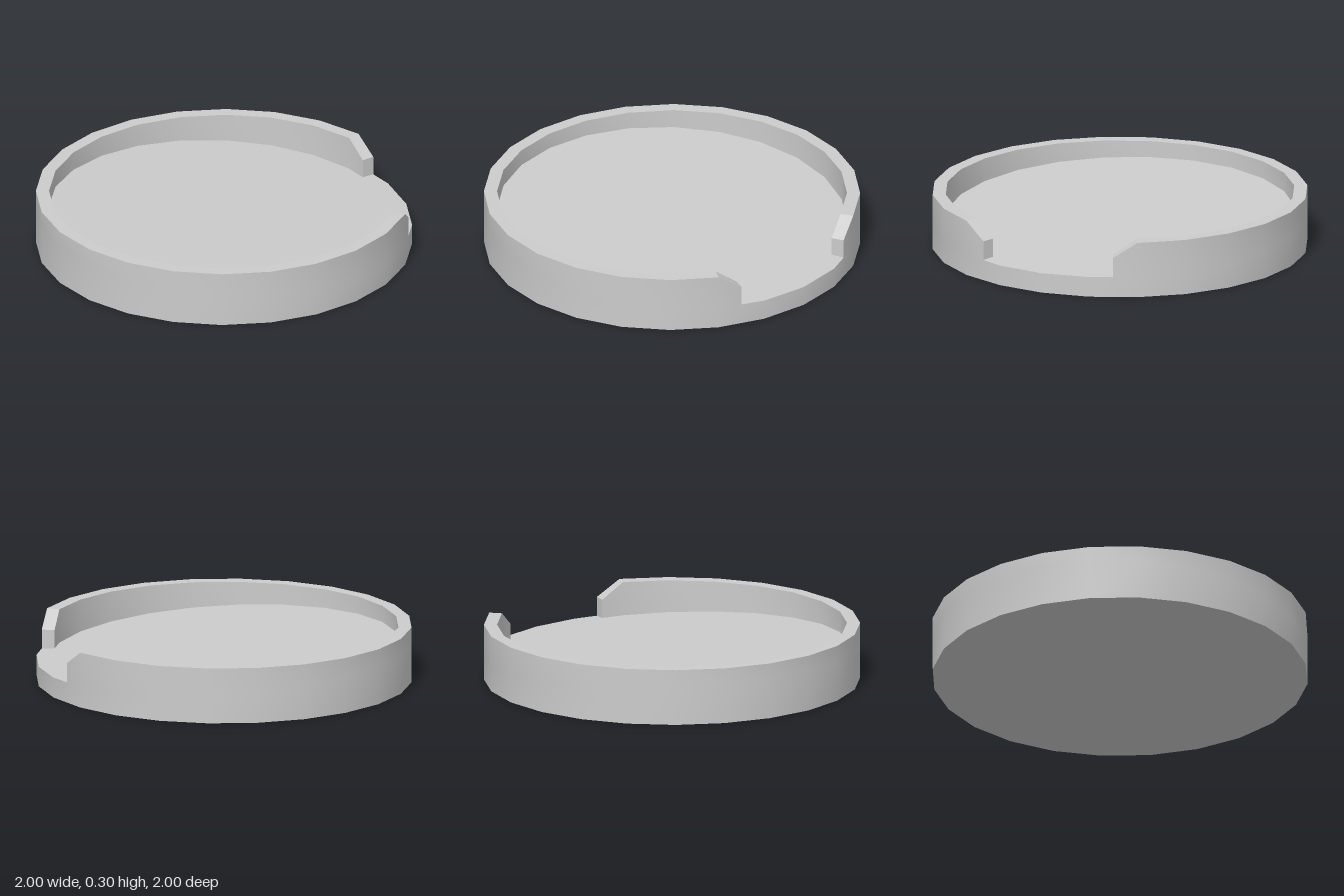
import * as THREE from 'three';
import { toCreasedNormals } from 'three/addons/utils/BufferGeometryUtils.js';

const SIDES = 24, OUTER = 1, INNER = 0.93;
const RIM = 0.3, NOTCH = 0.215, CREASE = 0.5;

// Flat floor sloping down towards the opening at +x
const floorAt = (x) => 0.107 + 0.055 * (1 - x);

// Solid base: a disc whose top follows the sloping floor
function baseGeometry() {
  const geometry = new THREE.CylinderGeometry(OUTER, OUTER, 1, SIDES);
  const pos = geometry.attributes.position;
  for (let i = 0; i < pos.count; i++) {
    pos.setY(i, pos.getY(i) > 0 ? floorAt(pos.getX(i)) : 0);
  }
  return toCreasedNormals(geometry, CREASE);
}

// Rim wall swept round the tray, open at +x, with sloped ends at the opening
function rimGeometry() {
  const step = (Math.PI * 2) / SIDES;
  const sections = [];
  const addSection = (angle, top, scale = 1) => {
    const at = (r, y) => {
      const x = Math.cos(angle) * r * scale;
      return [x, y ?? floorAt(x), Math.sin(angle) * r * scale];
    };
    sections.push([at(OUTER), at(OUTER, top), at(INNER, top), at(INNER)]);
  };
  // The ends sit halfway along a flat side
  const chord = Math.cos(step / 2);
  addSection(1.5 * step, NOTCH, chord);
  for (let i = 2; i <= SIDES - 2; i++) addSection(i * step, RIM);
  addSection((SIDES - 1.5) * step, NOTCH, chord);

  const positions = [];
  const quad = (a, b, c, d) => positions.push(...a, ...b, ...c, ...a, ...c, ...d);
  for (let i = 0; i < sections.length - 1; i++) {
    const s = sections[i], t = sections[i + 1];
    for (let k = 0; k < 3; k++) quad(s[k], s[k + 1], t[k + 1], t[k]);
  }
  // End faces of the opening
  const first = sections[0], last = sections[sections.length - 1];
  quad(first[0], first[3], first[2], first[1]);
  quad(last[0], last[1], last[2], last[3]);

  const geometry = new THREE.BufferGeometry();
  geometry.setAttribute('position', new THREE.Float32BufferAttribute(positions, 3));
  return toCreasedNormals(geometry, CREASE);
}

export function createModel() {
  const group = new THREE.Group();
  group.name = 'roundTray';
  const material = new THREE.MeshStandardMaterial({ color: 0xcccccc });

  const base = new THREE.Mesh(baseGeometry(), material);
  base.name = 'base';

  const rim = new THREE.Mesh(rimGeometry(), material);
  rim.name = 'rim';

  group.add(base, rim);
  return group;
}
